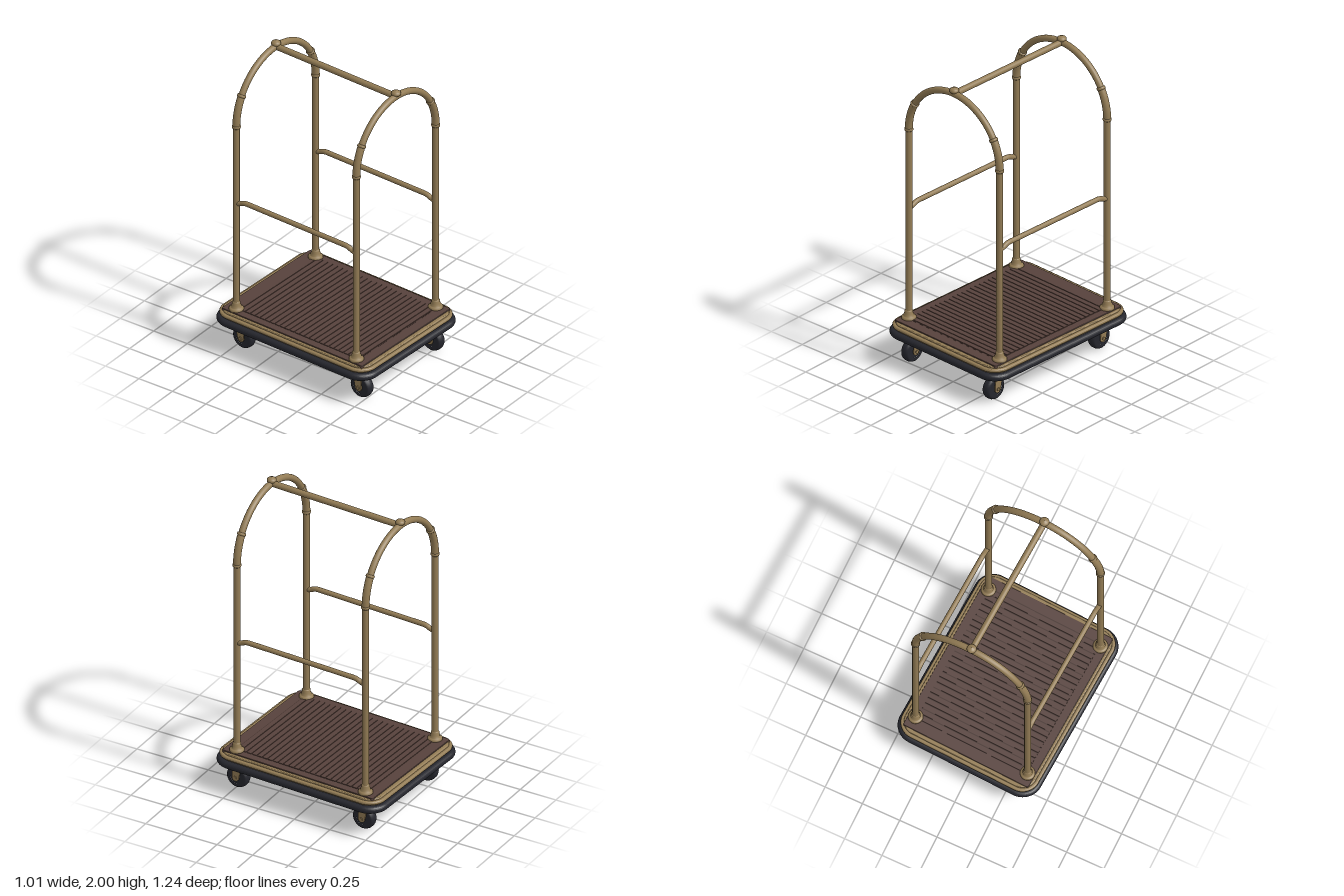
import * as THREE from 'three';

const material = (name, color, side = THREE.FrontSide) =>
  Object.assign(new THREE.MeshStandardMaterial({ color, side }), { name });

export function createModel() {
  const brass = material('brass', 0x937c55);
  const carpet = material('brown carpet', 0x57423c);
  const groove = material('dark carpet groove', 0x46342f);
  const rubber = material('black rubber', 0x25262d);

  const PX = 0.385, PZ = 0.465; // post positions
  const SPRING = 1.57;          // height where the arches begin

  const cart = new THREE.Group();
  cart.name = 'luggageCart';

  const add = (parent, name, geometry, mat, x = 0, y = 0, z = 0) => {
    const mesh = new THREE.Mesh(geometry, mat);
    mesh.name = name;
    mesh.position.set(x, y, z);
    parent.add(mesh);
    return mesh;
  };
  const lathe = (points, segments = 28) =>
    new THREE.LatheGeometry(points.map(p => new THREE.Vector2(...p)), segments);

  // Horizontal rounded slab with softened rim, half sizes w and d
  const slab = (name, w, d, r, y0, y1, bevel, mat) => {
    const a = w - bevel, b = d - bevel, c = Math.max(r - bevel, 0.005);
    const s = new THREE.Shape();
    s.moveTo(-a + c, -b);
    s.lineTo(a - c, -b);
    s.absarc(a - c, -b + c, c, -Math.PI / 2, 0);
    s.absarc(a - c, b - c, c, 0, Math.PI / 2);
    s.absarc(-a + c, b - c, c, Math.PI / 2, Math.PI);
    s.absarc(-a + c, -b + c, c, Math.PI, Math.PI * 1.5);
    const g = new THREE.ExtrudeGeometry(s, {
      depth: y1 - y0 - 2 * bevel, bevelEnabled: bevel > 0, bevelSize: bevel,
      bevelThickness: bevel, bevelSegments: 5, curveSegments: 10,
    });
    g.rotateX(-Math.PI / 2);
    return add(cart, name, g, mat, 0, y0 + bevel, 0);
  };

  // Platform: bumper, stepped brass frame and carpet
  slab('bumper', 0.484, 0.605, 0.125, 0.178, 0.224, 0.022, rubber);
  slab('undersidePlate', 0.445, 0.566, 0.09, 0.174, 0.23, 0, brass);
  slab('frameCore', 0.452, 0.573, 0.1, 0.22, 0.245, 0, brass);
  slab('frameLowerStep', 0.467, 0.588, 0.11, 0.232, 0.256, 0.011, brass);
  slab('frameUpperStep', 0.447, 0.568, 0.09, 0.245, 0.267, 0.008, brass);
  slab('carpet', 0.43, 0.545, 0.012, 0.255, 0.274, 0.003, carpet);
  const pitch = 0.038;
  for (let i = -12; i <= 12; i++) {
    add(cart, 'carpetRib', new THREE.BoxGeometry(0.76, 0.005, 0.03), carpet, 0, 0.2755, i * pitch);
    add(cart, 'carpetGroove', new THREE.BoxGeometry(0.76, 0.001, 0.008), groove, 0, 0.2742, (i + 0.5) * pitch);
  }

  // Posts with stepped feet
  const foot = lathe([[0, 0.27], [0.046, 0.27], [0.046, 0.283], [0.038, 0.29], [0.031, 0.292],
    [0.031, 0.304], [0.026, 0.308], [0.026, 0.325], [0.021, 0.33]]);
  const post = new THREE.CylinderGeometry(0.021, 0.021, SPRING - 0.27, 24);
  for (const x of [-PX, PX]) for (const z of [-PZ, PZ]) {
    add(cart, 'postFoot', foot, brass, x, 0, z);
    add(cart, 'post', post, brass, x, (SPRING + 0.27) / 2, z);
  }

  // Arches with thicker elbow sleeves and collars
  const archTube = (radius, from, to, segments) => {
    const g = new THREE.TorusGeometry(PX, radius, 16, segments, to - from);
    return g.rotateZ(from);
  };
  const collar = lathe([[0.018, -0.009], [0.025, -0.009], [0.0275, -0.004],
    [0.0275, 0.004], [0.025, 0.009], [0.018, 0.009]]);
  const finial = lathe([[0, -0.014], [0.02, -0.014], [0.029, -0.006], [0.03, 0.002], [0.027, 0.011],
    [0.018, 0.017], [0.008, 0.019], [0.007, 0.022], [0, 0.023]]);
  const elbow = Math.PI / 6;
  for (const z of [-PZ, PZ]) {
    add(cart, 'arch', archTube(0.021, 0, Math.PI, 56), brass, 0, SPRING, z);
    for (const side of [0, 1]) {
      const from = side ? Math.PI - elbow : 0;
      add(cart, 'elbowSleeve', archTube(0.024, from, from + elbow, 12), brass, 0, SPRING, z);
      for (const t of [0, elbow]) {
        const a = side ? Math.PI - t : t;
        const ring = add(cart, 'collar', collar, brass,
          PX * Math.cos(a), SPRING + PX * Math.sin(a), z);
        ring.rotation.z = a;
      }
    }
    add(cart, 'finial', finial, brass, 0, 1.977, z);
  }

  // Hanging bar joining the arch crowns
  const bar = new THREE.CylinderGeometry(0.02, 0.02, PZ * 2, 24).rotateX(Math.PI / 2);
  add(cart, 'hangingBar', bar, brass, 0, SPRING + PX, 0);

  // Side rails, dipping at both ends into the posts
  for (const x of [-PX, PX]) {
    const path = new THREE.CurvePath();
    const v = (y, z) => new THREE.Vector3(x, y, z);
    path.add(new THREE.LineCurve3(v(1.026, -PZ), v(1.036, -0.425)));
    path.add(new THREE.QuadraticBezierCurve3(v(1.036, -0.425), v(1.05, -0.405), v(1.05, -0.375)));
    path.add(new THREE.LineCurve3(v(1.05, -0.375), v(1.05, 0.375)));
    path.add(new THREE.QuadraticBezierCurve3(v(1.05, 0.375), v(1.05, 0.405), v(1.036, 0.425)));
    path.add(new THREE.LineCurve3(v(1.036, 0.425), v(1.026, PZ)));
    add(cart, 'sideRail', new THREE.TubeGeometry(path, 80, 0.016, 14), brass);
  }

  // Swivel casters
  const tyre = lathe([[0.045, -0.027], [0.062, -0.029], [0.07, -0.023], [0.075, -0.01],
    [0.075, 0.01], [0.07, 0.023], [0.062, 0.029], [0.045, 0.027]], 32).rotateZ(Math.PI / 2);
  const hub = new THREE.CylinderGeometry(0.046, 0.046, 0.05, 28).rotateZ(Math.PI / 2);
  const axle = new THREE.CylinderGeometry(0.011, 0.011, 0.092, 14).rotateZ(Math.PI / 2);
  // Fork cheek drawn in the side plane, offset back to the swivel stem
  const cheekShape = new THREE.Shape();
  cheekShape.moveTo(0.042, 0.162);
  cheekShape.lineTo(-0.018, 0.162);
  cheekShape.lineTo(-0.024, 0.075);
  cheekShape.absarc(0, 0.075, 0.024, Math.PI, Math.PI * 2);
  const cheek = new THREE.ExtrudeGeometry(cheekShape, { depth: 0.007, bevelEnabled: false })
    .translate(0, 0, -0.0035).rotateY(Math.PI / 2);
  const makeCaster = (x, z) => {
    const caster = new THREE.Group();
    caster.name = 'caster';
    caster.position.set(x, 0, z);
    add(caster, 'tyre', tyre, rubber, 0, 0.075, 0);
    add(caster, 'wheelHub', hub, rubber, 0, 0.075, 0);
    add(caster, 'axle', axle, brass, 0, 0.075, 0);
    for (const s of [-1, 1]) add(caster, 'forkCheek', cheek, brass, s * 0.036, 0, 0);
    add(caster, 'forkCrown', new THREE.BoxGeometry(0.079, 0.008, 0.06), brass, 0, 0.16, -0.012);
    add(caster, 'swivel', new THREE.CylinderGeometry(0.035, 0.035, 0.022, 24), brass, 0, 0.17, -0.014);
    cart.add(caster);
  };
  for (const x of [-0.345, 0.345]) for (const z of [-0.433, 0.478]) makeCaster(x, z);

  // The whole cart stands slightly turned
  cart.rotation.y = -0.049;
  const model = new THREE.Group();
  model.name = 'model';
  model.add(cart);
  return model;
}
